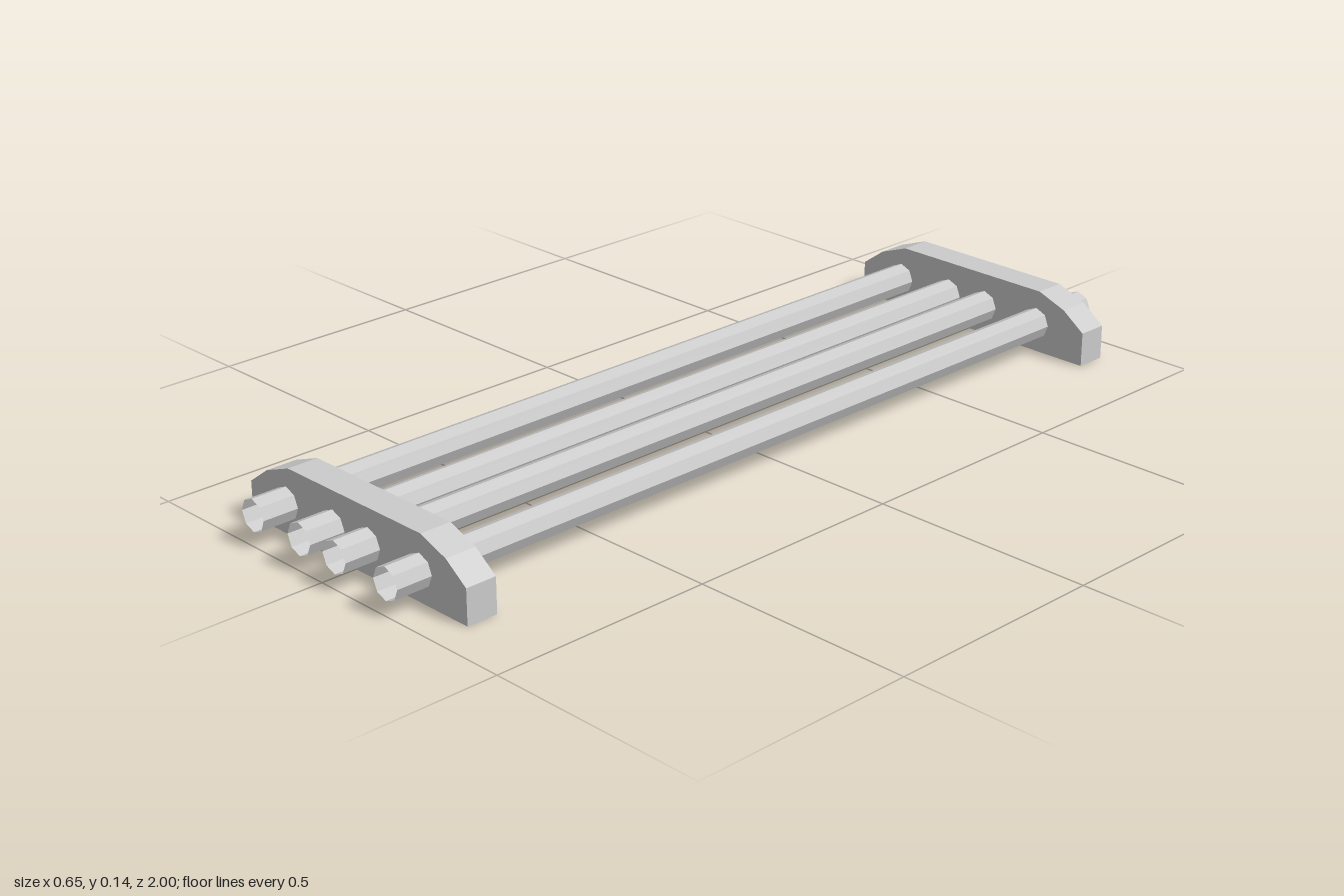
import * as THREE from 'three';

export function createModel() {
  const model = new THREE.Group();
  const plateMaterial = new THREE.MeshStandardMaterial({ color: 0xcccccc, flatShading: true });
  const tubeMaterial = new THREE.MeshStandardMaterial({ color: 0xcccccc, flatShading: true, side: THREE.DoubleSide });

  // End plates: flat base, chamfered shoulders
  const half = [[0.325, 0], [0.325, 0.077], [0.27, 0.117], [0.2, 0.143]];
  const outline = [...half, ...half.map(([x, y]) => [-x, y]).reverse()];
  const shape = new THREE.Shape(outline.map(([x, y]) => new THREE.Vector2(x, y)));
  const depth = 0.07;
  const plateGeometry = new THREE.ExtrudeGeometry(shape, { depth, bevelEnabled: false });
  plateGeometry.translate(0, 0, -depth / 2);
  for (const [name, z] of [['frontPlate', 0.885], ['backPlate', -0.885]]) {
    const plate = new THREE.Mesh(plateGeometry, plateMaterial);
    plate.name = name;
    plate.position.z = z;
    model.add(plate);
  }

  // Open eight-sided tubes running through both plates
  const tubeGeometry = new THREE.CylinderGeometry(0.035, 0.035, 2, 8, 1, true);
  tubeGeometry.rotateX(Math.PI / 2);
  [-0.21, -0.065, 0.042, 0.193].forEach((x, i) => {
    const tube = new THREE.Mesh(tubeGeometry, tubeMaterial);
    tube.name = `tube${i + 1}`;
    tube.position.set(x, 0.067, 0);
    model.add(tube);
  });

  return model;
}
